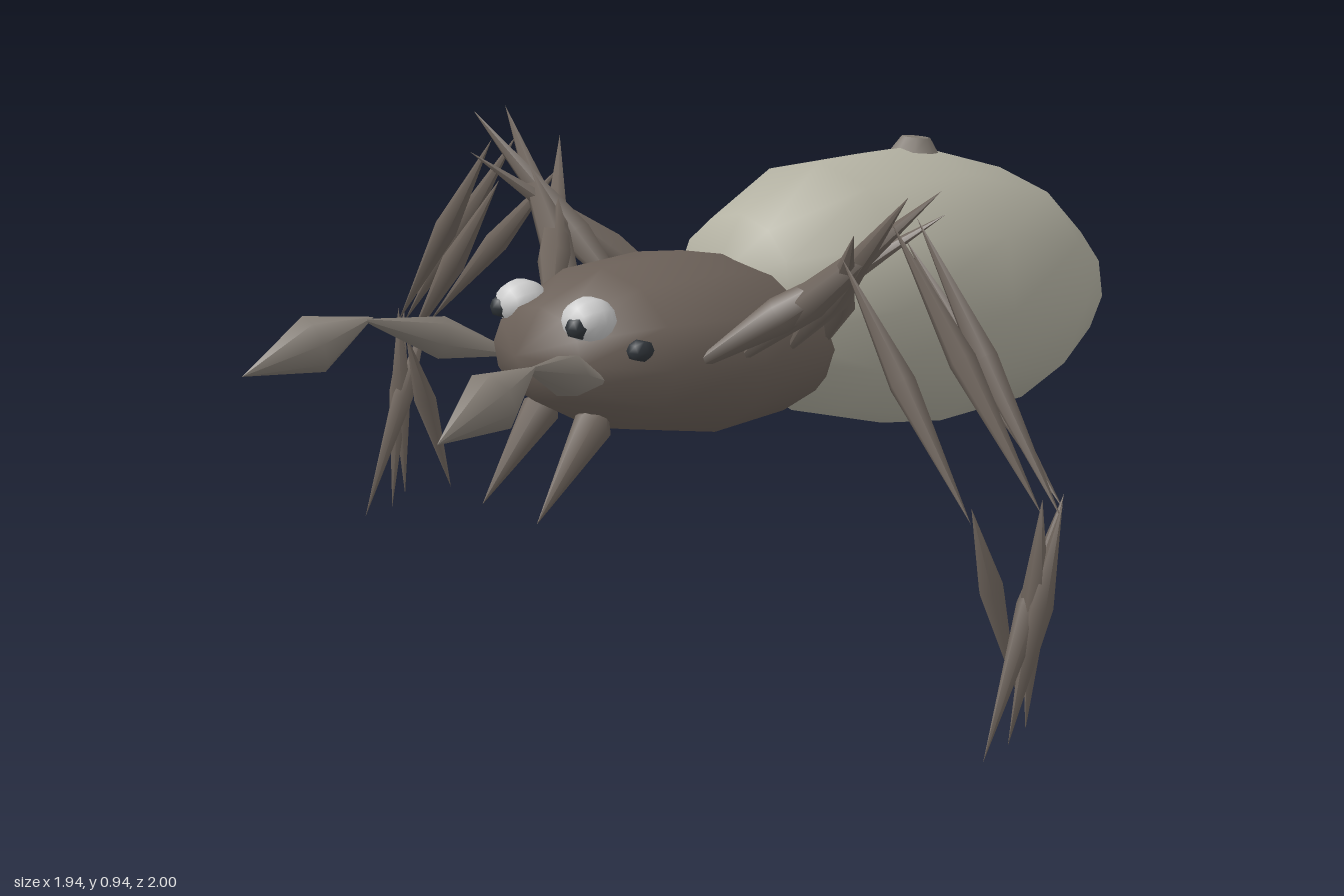
import * as THREE from 'three';

const material = (color) => new THREE.MeshStandardMaterial({ color });
const shell = material(0x6b6058);
const pale = material(0xb3b1a2);
const limb = material(0x6f655d);
const palpGrey = material(0x827b73);
const white = material(0xcccccc);
const dark = material(0x30353a);

function add(parent, name, geometry, mat) {
  const mesh = new THREE.Mesh(geometry, mat);
  mesh.name = name;
  parent.add(mesh);
  return mesh;
}

// Ellipsoid with its poles along z, nose tilted up
function ellipsoid(parent, name, mat, radii, centre, tilt, around = 12, rings = 6) {
  const geometry = new THREE.SphereGeometry(1, around, rings).rotateX(Math.PI / 2);
  geometry.scale(...radii);
  const mesh = add(parent, name, geometry, mat);
  mesh.position.set(...centre);
  mesh.rotation.x = -tilt;
  return mesh;
}

// Pointed spindle from a to b, widest at fraction t of its length
function spindle(parent, name, mat, a, b, radius, t = 0.45, sides = 6) {
  const start = new THREE.Vector3(...a);
  const dir = new THREE.Vector3(...b).sub(start);
  const length = dir.length();
  const profile = [[0, 0], [radius, t * length], [0, length]].map((p) => new THREE.Vector2(...p));
  const mesh = add(parent, name, new THREE.LatheGeometry(profile, sides), mat);
  mesh.position.copy(start);
  mesh.quaternion.setFromUnitVectors(new THREE.Vector3(0, 1, 0), dir.normalize());
  return mesh;
}

// Hip, knee, shin top, ankle and foot tip of each left leg, front hip first
const legs = [
  { hip: [0.18, 0.56, 0.37], knee: [0.56, 0.89, 0.03], shin: [0.50, 0.84, 0.075], ankle: [0.93, 0.43, 0.115], foot: [0.93, 0.01, 0.31] },
  { hip: [0.20, 0.56, 0.25], knee: [0.63, 0.955, 0.12], shin: [0.58, 0.90, 0.13], ankle: [0.965, 0.43, 0.16], foot: [0.925, 0.02, 0.24] },
  { hip: [0.20, 0.56, 0.10], knee: [0.63, 0.955, 0.205], shin: [0.58, 0.90, 0.195], ankle: [0.945, 0.44, 0.19], foot: [0.93, 0.04, 0.20] },
  { hip: [0.18, 0.56, -0.04], knee: [0.56, 0.885, 0.27], shin: [0.50, 0.83, 0.24], ankle: [0.835, 0.41, 0.25], foot: [0.85, 0.06, 0.13] },
];

export function createModel() {
  const model = new THREE.Group();
  model.name = 'spider';

  // Body
  ellipsoid(model, 'abdomen', pale, [0.33, 0.298, 0.555], [0, 0.585, -0.43], 0.15);
  ellipsoid(model, 'headAndThorax', shell, [0.265, 0.18, 0.4], [0, 0.575, 0.2], 0.1);

  // Small flat knob on top of the abdomen
  const knob = add(model, 'abdomenKnob', new THREE.CylinderGeometry(0.03, 0.05, 0.03, 8), palpGrey);
  knob.position.set(0, 0.883, -0.475);
  knob.rotation.x = -0.12;

  for (const side of [1, -1]) {
    const label = side > 0 ? 'left' : 'right';
    const m = ([x, y, z]) => [side * x, y, z];

    // Eyes
    ellipsoid(model, label + 'Eye', white, [0.052, 0.045, 0.052], m([0.1, 0.685, 0.5]), 0, 10, 8);
    ellipsoid(model, label + 'Pupil', dark, [0.024, 0.024, 0.024], m([0.113, 0.68, 0.537]), 0, 6, 4);
    ellipsoid(model, label + 'SideEye', dark, [0.024, 0.022, 0.028], m([0.187, 0.635, 0.45]), 0, 6, 4);

    // Fang
    spindle(model, label + 'Fang', limb, m([0.077, 0.515, 0.44]), m([0.083, 0.31, 0.62]), 0.038, 0.2, 8);

    // Feeler with a bulb at the end
    const palp = new THREE.Group();
    palp.name = label + 'Feeler';
    model.add(palp);
    spindle(palp, 'feelerArm', palpGrey, m([0.13, 0.57, 0.48]), m([0.25, 0.67, 0.77]), 0.042, 0.5);
    spindle(palp, 'feelerBulb', palpGrey, m([0.245, 0.67, 0.74]), m([0.3, 0.59, 1.0]), 0.057, 0.46, 8);

    // Spinneret at the tail
    spindle(model, label + 'Spinneret', palpGrey, m([0.048, 0.475, -0.92]), m([0.052, 0.468, -1.0]), 0.027, 0.45);

    // Legs
    legs.forEach(({ hip, knee, shin, ankle, foot }, i) => {
      const leg = new THREE.Group();
      leg.name = label + 'Leg' + (i + 1);
      model.add(leg);
      spindle(leg, 'upperLeg', limb, m(hip), m(knee), 0.036, 0.4);
      spindle(leg, 'middleLeg', limb, m(shin), m(ankle), 0.026, 0.48);
      spindle(leg, 'lowerLeg', limb, m([ankle[0], ankle[1] + 0.03, ankle[2]]), m(foot), 0.025, 0.42);
    });
  }
  return model;
}
